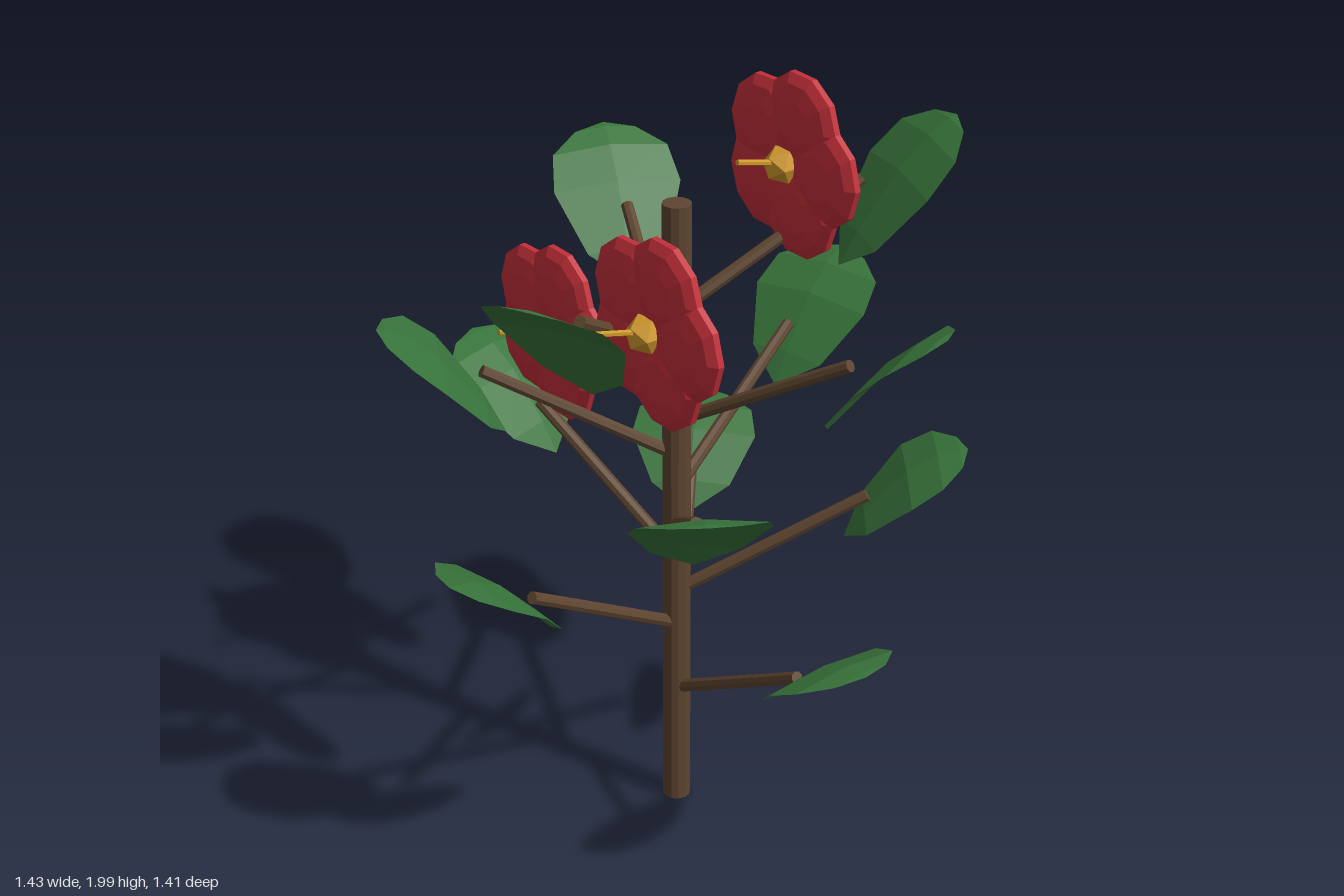
import * as THREE from 'three';

const mat = (name, color, side = THREE.FrontSide) => {
  const m = new THREE.MeshStandardMaterial({ color, side, flatShading: true });
  m.name = name;
  return m;
};

const UP = new THREE.Vector3(0, 1, 0);

function add(parent, name, geometry, material) {
  const mesh = new THREE.Mesh(geometry, material);
  mesh.name = name;
  parent.add(mesh);
  return mesh;
}

// Cylinder running between two points
function rod(parent, name, a, b, rA, rB, sides, material) {
  const dir = b.clone().sub(a);
  const mesh = add(parent, name, new THREE.CylinderGeometry(rB, rA, dir.length(), sides), material);
  mesh.position.copy(a).add(b).multiplyScalar(0.5);
  mesh.quaternion.setFromUnitVectors(UP, dir.normalize());
  return mesh;
}

// Leaf along +x: arched midrib, edges folded slightly down
function leafGeometry(drop, bend) {
  const rows = [[0, 0], [0.16, 0.105], [0.5, 0.167], [0.75, 0.152], [0.93, 0.08], [1, 0]];
  const pos = [], idx = [];
  for (const [t, w] of rows) {
    const x = 0.42 + 0.3 * t;
    const y = 0.13 - (0.13 + drop) * Math.pow(1 - t, bend);
    pos.push(x, y - w * 0.1, -w, x, y, 0, x, y - w * 0.1, w);
  }
  for (let r = 0; r < rows.length - 1; r++) {
    for (let s = 0; s < 2; s++) {
      const a = r * 3 + s, b = a + 1, c = a + 3, d = a + 4;
      if (r < rows.length - 2) idx.push(a, b, d, a, d, c);
      else idx.push(a, b, d);
      if (r === 0) idx.splice(-6, 6, a, d, c);
    }
  }
  const g = new THREE.BufferGeometry();
  g.setAttribute('position', new THREE.Float32BufferAttribute(pos, 3));
  g.setIndex(idx);
  g.computeVertexNormals();
  return g;
}

export function createModel() {
  const bark = mat('bark brown', 0x5e4530);
  const green = mat('leaf green', 0x38743b, THREE.DoubleSide);
  const red = mat('petal red', 0xc42f3a);
  const gold = mat('stamen gold', 0xcf982c);

  const root = new THREE.Group();
  root.name = 'floweringPlant';
  const plant = new THREE.Group();
  plant.name = 'plant';
  plant.position.set(-0.008, 0, -0.013);
  root.add(plant);

  // Trunk
  add(plant, 'trunk', new THREE.CylinderGeometry(0.036, 0.036, 1.695, 12), bark).position.y = 0.8475;

  // Twelve branches in a golden-angle spiral, each ending in a leaf
  for (let i = 0; i < 12; i++) {
    const tipY = 0.61 + 0.098 * i;
    const g = new THREE.Group();
    g.name = 'branchWithLeaf';
    g.position.y = tipY;
    g.rotation.y = THREE.MathUtils.degToRad(137.5 * i);
    rod(g, 'branch', new THREE.Vector3(0, -0.275, 0), new THREE.Vector3(0.475, 0, 0), 0.017, 0.016, 8, bark);
    add(g, 'leaf', leafGeometry(0.08 + 0.0128 * i, 2.2 - 0.06 * i), green);
    plant.add(g);
  }

  // Flowers facing the front
  const petalGeo = new THREE.SphereGeometry(1, 10, 7);
  petalGeo.rotateX(Math.PI / 2);
  for (const [x, y, z] of [[0.085, 1.76, -0.285], [0.265, 1.55, 0.26], [-0.368, 1.26, 0.095]]) {
    const f = new THREE.Group();
    f.name = 'flower';
    f.position.set(x, y, z);
    for (let k = 0; k < 5; k++) {
      const a = (k * Math.PI * 2) / 5;
      const p = add(f, 'petal', petalGeo, red);
      p.position.set(0.118 * Math.cos(a), 0.118 * Math.sin(a), 0);
      p.rotation.z = a;
      p.scale.set(0.122, 0.13, 0.036);
    }
    // Golden centre with one raised stamen
    add(f, 'flowerCentre', new THREE.IcosahedronGeometry(0.048, 0), gold).position.z = 0.03;
    rod(f, 'stamen', new THREE.Vector3(0, 0.005, 0.03), new THREE.Vector3(0, 0.04, 0.167), 0.008, 0.007, 6, gold);
    root.add(f);
  }
  return root;
}
